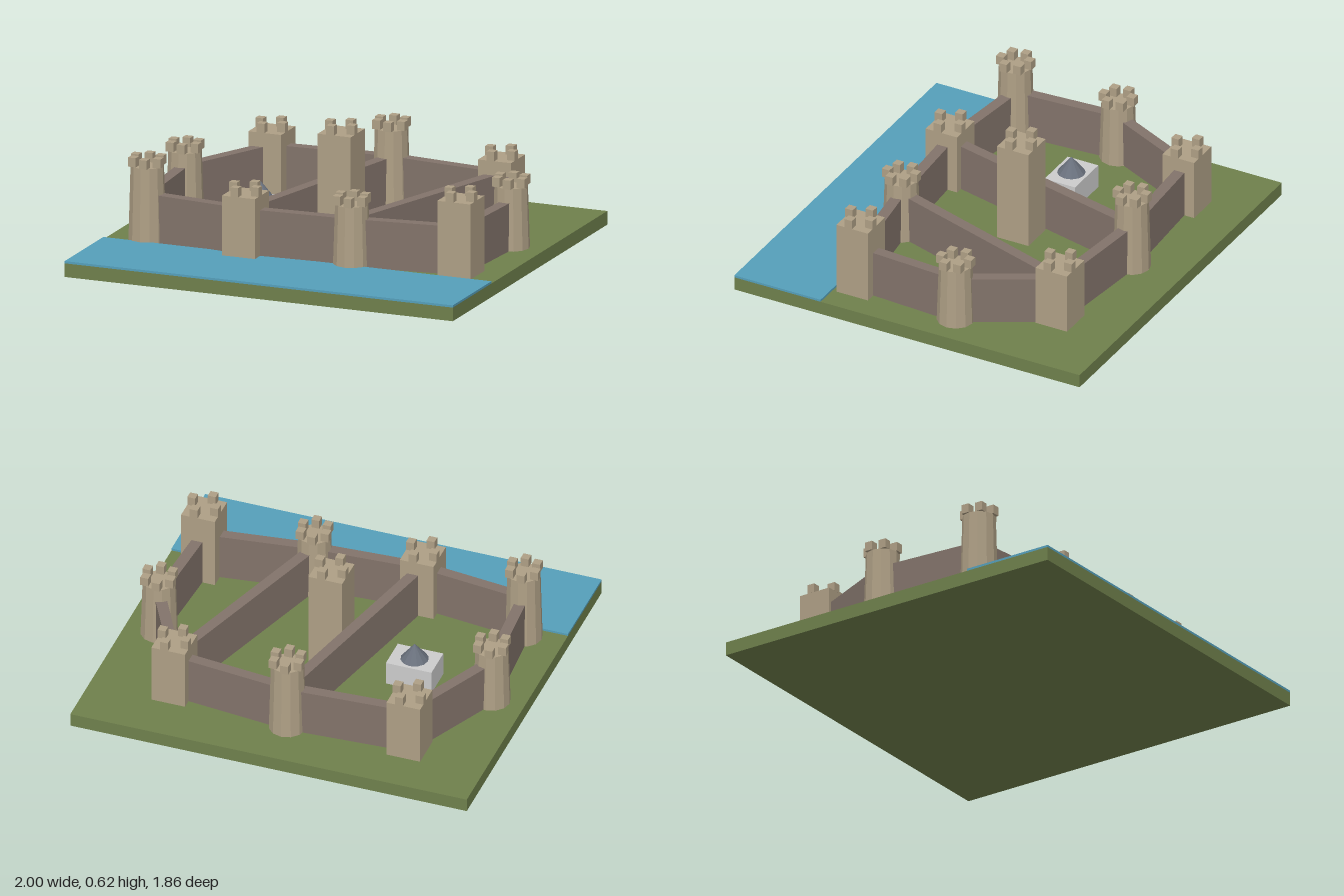
import * as THREE from 'three';

const GROUND = 0.067;
const paint = (color) => new THREE.MeshStandardMaterial({ color, flatShading: true });

export function createModel() {
  const model = new THREE.Group();
  const stone = paint(0xae9f85);
  const wallStone = paint(0x82736a);

  function add(parent, name, geometry, material, x, y, z) {
    const mesh = new THREE.Mesh(geometry, material);
    mesh.name = name;
    mesh.position.set(x, y, z);
    parent.add(mesh);
    return mesh;
  }

  // Ground slab and the strip of water along the front
  add(model, 'ground', new THREE.BoxGeometry(2, GROUND, 1.864), paint(0x6f804c), 0, GROUND / 2, 0);
  add(model, 'water', new THREE.BoxGeometry(2, 0.011, 0.466), paint(0x559fba), 0, GROUND + 0.0055, 0.699);

  // Tower sites: x, z, top of the body, round or square
  const towers = {
    backRight: [-0.603, -0.637, 0.372, false],
    backMiddle: [0, -0.67, 0.437, true],
    backLeft: [0.595, -0.605, 0.372, false],
    sideLeft: [0.83, -0.17, 0.372, true],
    frontLeft: [0.797, 0.36, 0.437, false],
    frontMiddleLeft: [0.265, 0.43, 0.372, true],
    frontMiddleRight: [-0.27, 0.46, 0.372, false],
    frontRight: [-0.803, 0.397, 0.437, true],
    sideRight: [-0.837, -0.138, 0.372, true],
    keep: [-0.003, -0.07, 0.57, false],
  };
  const merlon = new THREE.BoxGeometry(0.04, 0.045, 0.04);

  for (const [name, [x, z, top, round]] of Object.entries(towers)) {
    const tower = new THREE.Group();
    tower.name = name === 'keep' ? 'keep' : name + 'Tower';
    tower.position.set(x, 0, z);
    const h = top - GROUND;
    const body = round
      ? new THREE.CylinderGeometry(0.08, 0.09, h, 12)
      : new THREE.BoxGeometry(0.17, h, 0.17);
    add(tower, 'towerBody', body, stone, 0, GROUND + h / 2, 0);

    // Ring of merlons on the rim
    const count = round ? 6 : 4;
    for (let i = 0; i < count; i++) {
      const a = 0.32 + (i / count) * Math.PI * 2;
      add(tower, 'merlon', merlon, stone, Math.cos(a) * 0.069, top + 0.0225, Math.sin(a) * 0.069);
    }
    model.add(tower);
  }

  // Curtain walls run from tower to tower
  const wallHeight = 0.302 - GROUND;
  function addWall(from, to, name) {
    const [x0, z0] = towers[from];
    const [x1, z1] = towers[to];
    const length = Math.hypot(x1 - x0, z1 - z0);
    const wall = add(model, name, new THREE.BoxGeometry(length, wallHeight, 0.055), wallStone,
      (x0 + x1) / 2, GROUND + wallHeight / 2, (z0 + z1) / 2);
    wall.rotation.y = -Math.atan2(z1 - z0, x1 - x0);
  }
  const ring = Object.keys(towers).filter((name) => name !== 'keep');
  ring.forEach((name, i) => addWall(name, ring[(i + 1) % ring.length], 'curtainWall'));
  addWall('frontMiddleRight', 'backMiddle', 'innerWall');
  addWall('frontMiddleLeft', 'backLeft', 'innerWall');

  // Pale hall with a conical roof in the courtyard
  add(model, 'hall', new THREE.BoxGeometry(0.23, 0.12, 0.165), paint(0xd8d8d4), -0.435, GROUND + 0.06, -0.105);
  add(model, 'hallRoof', new THREE.ConeGeometry(0.068, 0.085, 12), paint(0x69707c), -0.435, GROUND + 0.1625, -0.105);

  return model;
}
